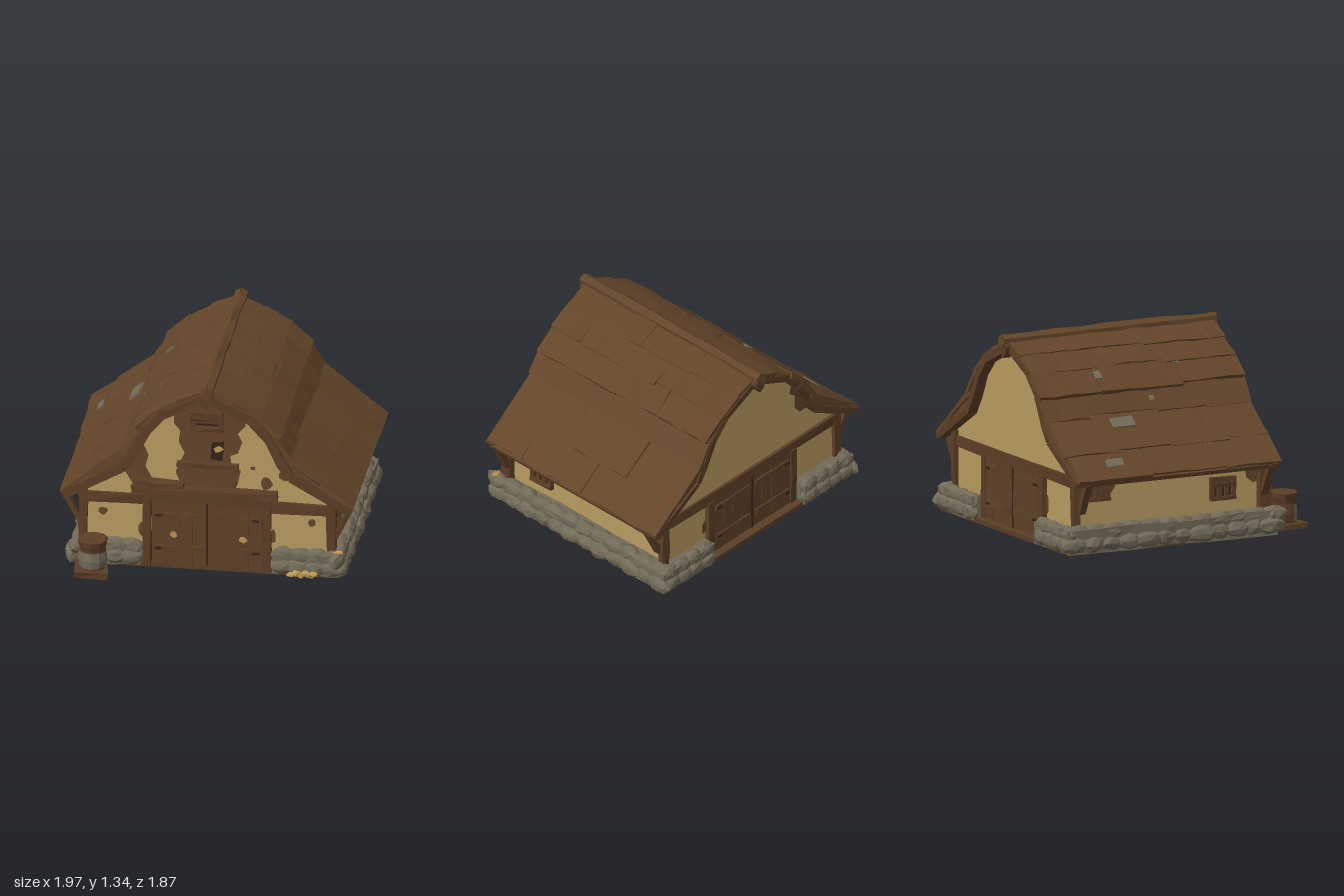
import * as THREE from 'three';

const mat = (name, color) => new THREE.MeshStandardMaterial({ name, color });

export function createModel() {
  const root = new THREE.Group();
  root.name = 'barn';
  const roofWood = mat('roof wood', 0x634529), wood = mat('beam wood', 0x5b3e26), doorWood = mat('door wood', 0x5f4128);
  const plaster = mat('plaster', 0xb89b60), stone = mat('stone', 0x736b58), dark = mat('dark opening', 0x35241a);
  const straw = mat('straw', 0xbd944f), worn = mat('worn patch', 0x62442a);

  let seed = 7;
  const rnd = (a = 0, b = 1) => {
    seed = (seed * 16807) % 2147483647;
    return a + (b - a) * seed / 2147483647;
  };

  // Roughen vertices by their position so shared corners stay together, then facet
  const rough = (geo, amt) => {
    const p = geo.attributes.position, off = rnd(0, 50);
    const h = (x, y, z, k) => {
      const s = Math.sin(Math.round(x * 1e3) * 12.99 + Math.round(y * 1e3) * 78.23 + Math.round(z * 1e3) * 37.72 + k + off) * 43758.5;
      return (s - Math.floor(s) - 0.5) * 2 * amt;
    };
    for (let i = 0; i < p.count; i++) {
      const x = p.getX(i), y = p.getY(i), z = p.getZ(i);
      p.setXYZ(i, x + h(x, y, z, 1), y + h(x, y, z, 2), z + h(x, y, z, 3));
    }
    const g = geo.index ? geo.toNonIndexed() : geo;
    g.computeVertexNormals();
    return g;
  };
  const add = (name, geo, m, parent = root) => {
    const mesh = new THREE.Mesh(geo, m);
    mesh.name = name;
    parent.add(mesh);
    return mesh;
  };
  // Box given by its limits
  const box = (name, m, x1, x2, y1, y2, z1, z2, amt = 0.005, parent = root) => {
    const g = new THREE.BoxGeometry(x2 - x1, y2 - y1, z2 - z1, x2 - x1 > 0.3 ? 5 : 1, y2 - y1 > 0.3 ? 3 : 1, z2 - z1 > 0.3 ? 6 : 1);
    const b = add(name, rough(g, amt), m, parent);
    b.position.set((x1 + x2) / 2, (y1 + y2) / 2, (z1 + z2) / 2);
    return b;
  };
  // Board between two points of the xy plane, its top lying on the line
  const board = (name, m, a, b, z1, z2, th, amt = 0.006, parent = root) => {
    if (a[0] > b[0]) [a, b] = [b, a];
    const dx = b[0] - a[0], dy = b[1] - a[1], len = Math.hypot(dx, dy);
    const g = new THREE.BoxGeometry(len, th, z2 - z1, 1, 1, Math.max(1, Math.round((z2 - z1) / 0.12)));
    g.translate(0, -th / 2, 0);
    const mesh = add(name, rough(g, amt), m, parent);
    mesh.position.set((a[0] + b[0]) / 2, (a[1] + b[1]) / 2, (z1 + z2) / 2);
    mesh.rotation.z = Math.atan2(dy, dx);
    return mesh;
  };
  const extrude = (pts, depth) => new THREE.ExtrudeGeometry(new THREE.Shape(pts.map(p => new THREE.Vector2(...p))), { depth, bevelEnabled: false });
  const mirrorPts = half => [...half, ...half.slice().reverse().filter(p => p[0] > 0).map(([x, y]) => [-x, y])];
  const plate = (name, m, pts, z, parent = root) => {
    const p = add(name, extrude(pts, 0.007), m, parent);
    p.position.z = z;
    return p;
  };
  // Irregular round patch outline
  const spot = (x, y, rx, ry) => Array.from({ length: 9 }, (_, i) => {
    const a = i / 9 * Math.PI * 2, k = rnd(0.7, 1.1);
    return [x + Math.cos(a) * rx * k, y + Math.sin(a) * ry * k];
  });

  // Plaster body and floor
  const body = add('plasterWalls', extrude(mirrorPts([[0.8, 0.02], [0.8, 0.56], [0.55, 0.72], [0.48, 0.84], [0.41, 0.98], [0.29, 1.1], [0, 1.22]]), 1.41), plaster);
  body.position.z = -0.79;
  box('floor', wood, -0.88, 0.88, 0, 0.03, -0.87, 0.65, 0);

  // Roof shell between the outer line P and the inner gable line F
  const P = [[0, 1.295], [0.17, 1.215], [0.33, 1.125], [0.45, 0.995], [0.53, 0.85], [0.76, 0.67], [0.965, 0.505]];
  const F = [[0, 1.27], [0.3, 1.13], [0.425, 0.995], [0.505, 0.83], [0.57, 0.73], [0.955, 0.508]];
  const shellHalf = [...P.map(([x, y]) => [x, y - 0.015]), ...F.map(([x, y]) => [x, y - 0.045]).reverse()];
  for (const s of [1, -1]) {
    const shell = add('roofShell', extrude(shellHalf.map(([x, y]) => [x * s, y]), 1.49), roofWood);
    shell.position.z = -0.85;
  }

  // Overlapping roof boards, course by course
  const lifted = (i, s, ext, lift) => {
    const [a, b] = [P[i], P[i + 1]];
    const dx = b[0] - a[0], dy = b[1] - a[1], l = Math.hypot(dx, dy);
    return [[a[0] * s, a[1] + 0.004], [(b[0] + dx * ext - dy / l * lift) * s, b[1] + dy * ext + dx / l * lift]];
  };
  const lifts = [0.006, 0.008, 0.028, 0.022, 0.008, 0.006];
  for (const s of [1, -1]) for (let i = 0; i < 6; i++) {
    let z = -0.865 + rnd(-0.01, 0.015);
    while (z < 0.6) {
      let e = z + rnd(0.3, 0.7);
      if (e > 0.4) e = 0.65 + rnd(-0.015, 0.015);
      const [a, b] = lifted(i, s, i === 5 ? rnd(-0.03, 0.06) : rnd(0.05, 0.22), lifts[i] + rnd(-0.004, 0.008));
      board('roofBoard', roofWood, a, b, z, e, 0.03, 0.006);
      z = e;
    }
  }
  // Grey repairs on the roof's right slope
  for (const [i, t, z, w, d] of [[4, 0.2, -0.33, 0.065, 0.17], [5, 0.4, -0.53, 0.045, 0.12], [2, 0.3, -0.4, 0.045, 0.045], [3, 0.5, -0.06, 0.02, 0.03], [2, 0.15, 0.2, 0.02, 0.04]]) {
    const [a, b] = lifted(i, -1, 0.13, lifts[i] + 0.004);
    const at = k => [a[0] + (b[0] - a[0]) * k, a[1] + (b[1] - a[1]) * k + 0.011];
    board('roofPatch', stone, at(t), at(t + w / Math.abs(b[0] - a[0])), z - d / 2, z + d / 2, 0.009, 0.004);
  }
  // Ridge log and its hanging end caps
  const ridge = add('ridgeLog', rough(new THREE.CylinderGeometry(0.045, 0.045, 1.59, 6, 8).rotateX(Math.PI / 2), 0.006), roofWood);
  ridge.position.set(0, 1.285, -0.105);
  for (const z of [0.63, -0.89]) plate('ridgeCap', wood, [[-0.05, 1.25], [-0.035, 1.2], [0, 1.17], [0.03, 1.21], [0.05, 1.25], [0, 1.33]], z).scale.z = 8;
  // Gable fascia beams, heavier at the front
  for (const s of [1, -1]) for (const [z1, z2, th] of [[0.6, 0.665, 0.058], [-0.86, -0.79, 0.045]]) for (let i = 0; i < 5; i++) {
    board('fasciaBeam', wood, [F[i][0] * s, F[i][1]], [F[i + 1][0] * s * 1.012, F[i + 1][1] - 0.006], z1, z2, th, 0.004);
  }

  // Stone footing, left and right, leaving the doorways free
  const rock = (x, y, z, rx, ry, rz) => {
    const r = add('footingStone', rough(new THREE.IcosahedronGeometry(1, 1), 0.1), stone);
    r.scale.set(rx, ry, rz);
    r.position.set(x, y, z);
    r.rotation.y = rnd(-0.15, 0.15);
  };
  for (const s of [1, -1]) {
    box('footingCore', stone, s > 0 ? 0.43 : -0.9, s > 0 ? 0.9 : -0.43, 0.012, 0.165, -0.88, 0.665, 0.01);
    for (let row = 0; row < 2; row++) {
      const y = 0.066 + row * 0.07;
      for (let k = 0; k < 12; k++) rock(s * (0.885 - row * 0.03 + rnd(-0.01, 0.01)), y, -0.82 + k * 0.131 + row * 0.03, 0.05, 0.059, rnd(0.085, 0.11));
      for (const z of [0.648, -0.868]) for (let k = 0; k < 4; k++) {
        rock(s * (0.49 + k * 0.112 + row * 0.01), y, z - Math.sign(z) * row * 0.015, rnd(0.075, 0.09), 0.059, 0.042);
      }
    }
  }

  // Gable wall timbers with a pair of plank doors, built facing +z
  for (const back of [false, true]) {
    const g = new THREE.Group();
    g.name = back ? 'backWallTimber' : 'frontWallTimber';
    root.add(g);
    const top = back ? 0.44 : 0.475;
    for (const s of [1, -1]) {
      const lim = (a, b) => s > 0 ? [a, b] : [-b, -a];
      for (let k = 0; k < 4; k++) {
        const c = 0.05 + k * 0.09;
        box('doorPlank', doorWood, ...lim(c - 0.045, c + 0.045), 0.015, top, 0.6, 0.643, 0.002, g);
      }
      for (const y of [0.12, 0.355]) {
        box('doorRail', doorWood, ...lim(0.03, 0.35), y, y + 0.04, 0.62, 0.652, 0.003, g);
        box('hinge', dark, ...lim(0.3, 0.345), y + 0.012, y + 0.028, 0.65, 0.66, 0.002, g);
      }
      box('doorPost', wood, ...lim(0.368, 0.422), 0.01, back ? 0.45 : 0.53, 0.59, back ? 0.652 : 0.672, 0.005, g);
      box('wallPost', wood, ...lim(0.79, 0.848), 0.16, 0.54, back ? 0.6 : 0.565, 0.645, 0.005, g);
      // Eave brace
      board('eaveBrace', wood, [s * 0.825, 0.28], [s * 0.93, 0.49], 0.57, 0.62, 0.036, 0.004, g);
      if (!back) plate('wornPatch', worn, spot(s * 0.69, 0.37, 0.03, 0.03), 0.617, g);
      plate('wornPatch', worn, spot(s * 0.43, 0.26, 0.025, 0.06), 0.617, g);
    }
    box('doorGap', dark, -0.006, 0.006, 0.02, top, 0.64, 0.646, 0, g);
    box('crossBeam', wood, -0.81, 0.81, 0.435, 0.508, 0.6, 0.64, 0.006, g);
    if (back) {
      g.rotation.y = Math.PI;
      g.position.z = -0.17;
      plate('wornEdge', worn, [[0.4, 0.98], [0.38, 0.9], [0.43, 0.86], [0.43, 0.76], [0.48, 0.7], [0.56, 0.71], [0.48, 0.84]], 0.617, g);
    } else box('doorHead', wood, -0.42, 0.42, 0.478, 0.545, 0.6, 0.66, 0.004, g);
  }

  // Front gable: lintel, bare planks, loft openings
  box('doorLintel', wood, -0.49, 0.47, 0.54, 0.588, 0.6, 0.705, 0.008);
  box('lintelCap', wood, -0.47, -0.15, 0.58, 0.622, 0.6, 0.69, 0.006);
  plate('barePlanks', worn, [[-0.16, 0.56], [-0.21, 0.68], [-0.19, 0.74], [-0.15, 0.82], [-0.19, 0.9], [-0.18, 0.98], [-0.22, 1.03], [-0.22, 1.08], [-0.25, 1.11], [0, 1.21],
    [0.25, 1.11], [0.25, 1.04], [0.2, 0.98], [0.23, 0.92], [0.2, 0.84], [0.15, 0.82], [0.16, 0.74], [0.22, 0.72], [0.2, 0.62], [0.17, 0.56]].reverse(), 0.617);
  plate('wornEdge', worn, [[-0.42, 0.95], [-0.5, 0.82], [-0.57, 0.71], [-0.53, 0.64], [-0.48, 0.56], [-0.16, 0.56], [-0.22, 0.62], [-0.37, 0.63], [-0.41, 0.71], [-0.39, 0.79], [-0.42, 0.86]], 0.617);
  plate('wornSpot', worn, spot(0.51, 0.7, 0.045, 0.04), 0.617);
  plate('wornSpot', worn, spot(0.39, 0.63, 0.04, 0.05), 0.617);
  plate('wornSpot', worn, spot(0.3, 0.74, 0.02, 0.015), 0.617);
  plate('loftOpening', dark, [[-0.08, 1.02], [0.09, 1.02], [0.09, 1.1], [-0.08, 1.1]], 0.622);
  for (const y of [0.995, 1.05, 1.095]) box('loftSlat', wood, -0.11, 0.1, y, y + 0.032, 0.61, 0.65);
  for (const x of [-0.095, 0.09]) box('loftJamb', wood, x - 0.015, x + 0.015, 0.99, 1.13, 0.61, 0.645);
  plate('brokenOpening', dark, [[0.02, 0.79], [0.1, 0.78], [0.11, 0.92], [0.03, 0.91]], 0.622);
  plate('strawTuft', straw, spot(0.07, 0.865, 0.035, 0.022), 0.627);
  box('loftSill', wood, -0.2, 0.21, 0.735, 0.765, 0.6, 0.66);
  for (const x of [-0.1, 0.02, 0.13]) box('loftPlank', worn, x - 0.055, x + 0.055, 0.59, 0.735, 0.61, 0.63, 0.003);
  for (const [x, y] of [[-0.22, 0.24], [0.24, 0.23]]) plate('doorStraw', straw, spot(x, y, 0.03, 0.022), 0.645);

  // Side walls: eave beam, worn plaster, barred windows
  for (const s of [1, -1]) {
    const lim = (a, b) => s > 0 ? [a, b] : [-b, -a];
    box('eaveBeam', wood, ...lim(0.77, 0.83), 0.465, 0.54, -0.78, 0.62);
    for (const [z, y, w, h] of [[0.305, 0.255, 0.16, 0.15], [-0.615, 0.335, 0.13, 0.125]]) {
      box('windowOpening', dark, ...lim(0.79, 0.806), y, y + h, z - w / 2, z + w / 2, 0);
      for (const e of [0, h * 0.62, h - 0.02]) box('windowRail', wood, ...lim(0.79, 0.835), y + e, y + e + 0.025, z - w / 2 - 0.012, z + w / 2 + 0.012, 0.003);
      for (const k of [-0.5, -0.17, 0.17, 0.5]) box('windowBar', wood, ...lim(0.79, 0.828), y, y + h, z + k * w - 0.014, z + k * w + 0.014, 0.003);
    }
    const side = new THREE.Group();
    side.name = 'sideWornPatches';
    side.rotation.y = s * Math.PI / 2;
    root.add(side);
    for (const [z, y, rx, ry] of [[0.53, 0.41, 0.05, 0.07], [0.33, 0.45, 0.06, 0.025], [-0.6, 0.42, 0.13, 0.07], [-0.73, 0.38, 0.05, 0.08], [-0.35, 0.46, 0.12, 0.02]])
      plate('wornPatch', worn, spot(-s * z, y, rx, ry), 0.797, side);
  }

  // Waisted barrel on a slab, with a grey patch on its lower front
  const barrel = new THREE.Group();
  barrel.name = 'barrel';
  barrel.position.set(-0.73, 0, 0.8);
  root.add(barrel);
  const lathe = (name, m, pts, seg, ...arc) => add(name, rough(new THREE.LatheGeometry(pts.map(p => new THREE.Vector2(...p)), seg, ...arc), 0.002), m, barrel);
  lathe('barrelBody', wood, [[0, 0.04], [0.082, 0.04], [0.09, 0.11], [0.084, 0.18], [0.094, 0.215], [0.1, 0.248], [0.085, 0.253], [0, 0.245]], 10);
  lathe('barrelPatch', stone, [[0.089, 0.06], [0.096, 0.11], [0.091, 0.17]], 4, -Math.PI / 5 * 2, Math.PI * 0.8);
  const slab = box('barrelSlab', wood, -0.12, 0.1, 0.008, 0.05, -0.09, 0.115, 0.012, barrel);
  slab.rotation.y = 0.12;

  // Loose straw on and by the footing
  const tuft = (x, y, z) => {
    const t = add('strawTuft', rough(new THREE.IcosahedronGeometry(1, 0), 0.25), straw);
    t.scale.set(0.036, 0.02, 0.028);
    t.position.set(x, y, z);
  };
  for (let k = 0; k < 6; k++) tuft(0.57 + k * 0.029, 0.032 + (k % 2) * 0.012, 0.705);
  tuft(0.87, 0.185, 0.655);
  return root;
}
